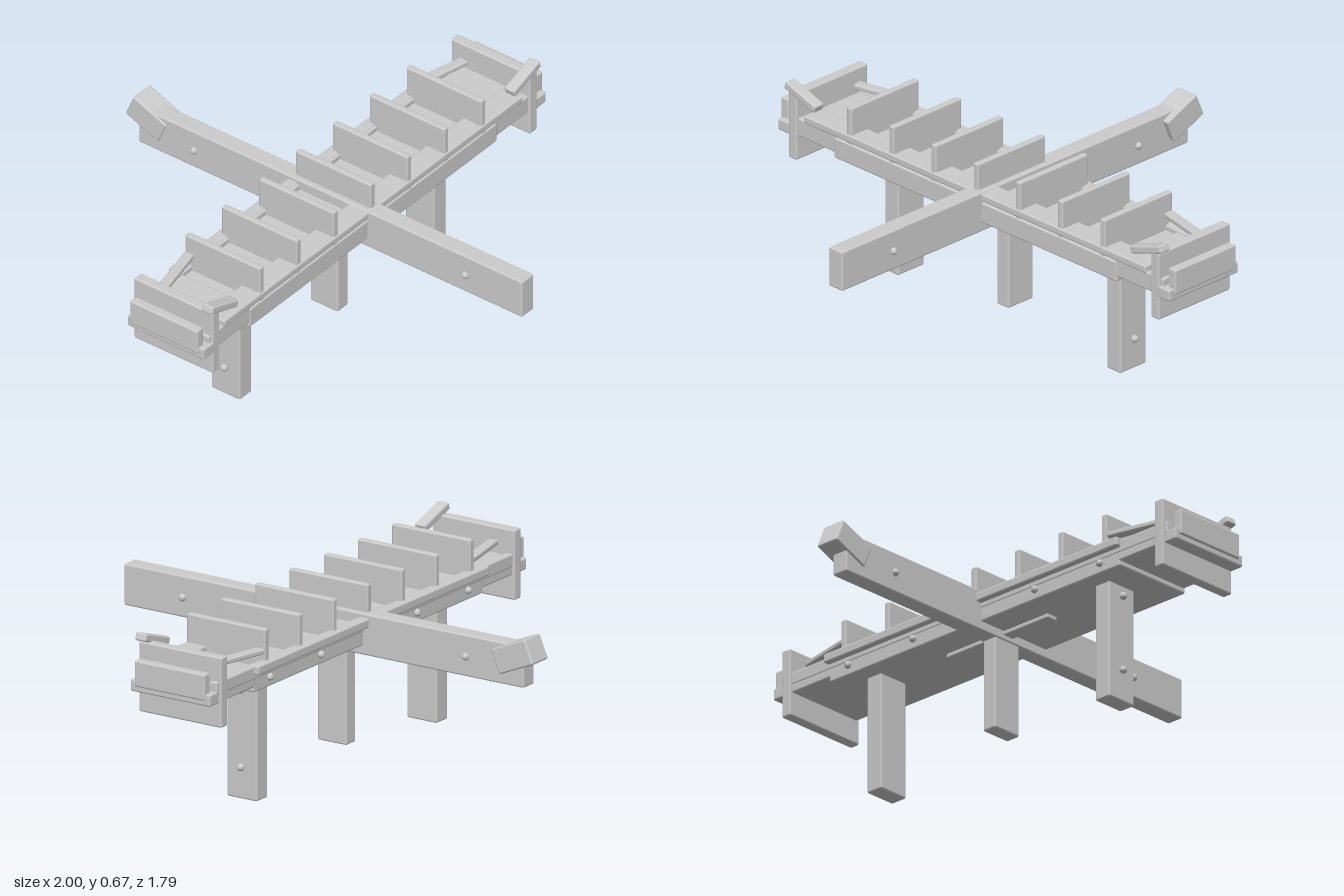
import * as THREE from 'three';
import { RoundedBoxGeometry } from 'three/addons/geometries/RoundedBoxGeometry.js';

const material = new THREE.MeshStandardMaterial({ color: 0xcccccc });

export function createModel() {
  const model = new THREE.Group();

  // Softly bevelled timber given by its extents [min, max] on each axis
  function plank(name, [x0, x1], [y0, y1], [z0, z1]) {
    const w = x1 - x0, h = y1 - y0, d = z1 - z0;
    const radius = Math.min(0.007, 0.3 * Math.min(w, h, d));
    const mesh = new THREE.Mesh(new RoundedBoxGeometry(w, h, d, 2, radius), material);
    mesh.position.set((x0 + x1) / 2, (y0 + y1) / 2, (z0 + z1) / 2);
    mesh.name = name;
    model.add(mesh);
    return mesh;
  }

  function bolt(name, x, y, z) {
    const mesh = new THREE.Mesh(new THREE.SphereGeometry(0.014, 14, 10), material);
    mesh.position.set(x, y, z);
    mesh.name = name;
    model.add(mesh);
  }

  // Extents mirrored to the chosen side
  const mirror = (s, a, b) => (s > 0 ? [a, b] : [-b, -a]);

  // Long central beam with a tilted block at its rear end
  plank('centralBeam', [-0.034, 0.034], [0.415, 0.57], [-0.835, 0.895]);
  const block = plank('beamEndBlock', [-0.04, 0.058], [0.484, 0.58], [-0.88, -0.72]);
  block.rotation.x = 0.4;

  // Cross deck
  plank('deckBoard', [-0.715, 0.715], [0.45, 0.53], [-0.14, 0.198]);
  plank('frontRail', [-0.865, 0.865], [0.535, 0.565], [0.11, 0.2]);
  plank('backRail', [-0.95, 0.95], [0.5, 0.55], [-0.142, -0.11]);
  plank('backStrip', [-0.722, 0.722], [0.52, 0.555], [-0.165, -0.12]);
  plank('underBatten', [-0.25, 0.25], [0.434, 0.452], [-0.025, 0.025]);
  for (const x of [-0.62, -0.3, 0.3, 0.62]) bolt('deckBolt', x, 0.487, -0.143);

  // Upright dividers
  for (let i = -3; i <= 3; i++) {
    const x = i * 0.2137;
    plank('divider', [x - 0.013, x + 0.013], [0.525, 0.672], [-0.145, 0.195]);
  }

  // Support posts
  plank('centrePost', [-0.03, 0.03], [0.062, 0.44], [-0.065, 0.06]);

  for (const s of [-1, 1]) {
    plank('leg', mirror(s, 0.528, 0.597), [0, 0.46], [-0.07, 0.06]);
    bolt('legBolt', s * 0.604, 0.41, -0.005);
    bolt('legBolt', s * 0.604, 0.12, -0.005);
    bolt('beamBolt', s * 0.036, 0.49, 0.64);
    bolt('beamBolt', s * 0.036, 0.49, -0.585);

    // End tray, end plate and outer panel with its ledge
    plank('endTray', mirror(s, 0.705, 0.95), [0.47, 0.542], [-0.14, 0.195]);
    plank('endPlate', mirror(s, 0.897, 0.938), [0.378, 0.64], [-0.152, 0.205]);
    plank('endLedge', mirror(s, 0.93, 0.992), [0.468, 0.513], [-0.14, 0.205]);
    plank('endPanel', mirror(s, 0.962, 1), [0.49, 0.588], [-0.122, 0.182]);

    // Loose slat lying askew on the tray
    const slat = plank('looseSlat', mirror(s, 0.645, 0.88), [0.58, 0.6], [-0.12, -0.08]);
    slat.rotation.y = s * -0.22;

    // Slanted handle over the front corner
    const handle = plank('slantedHandle', mirror(s, 0.795, 0.955), [0.622, 0.652], [0.165, 0.212]);
    handle.rotation.z = s * 0.32;
  }

  return model;
}
